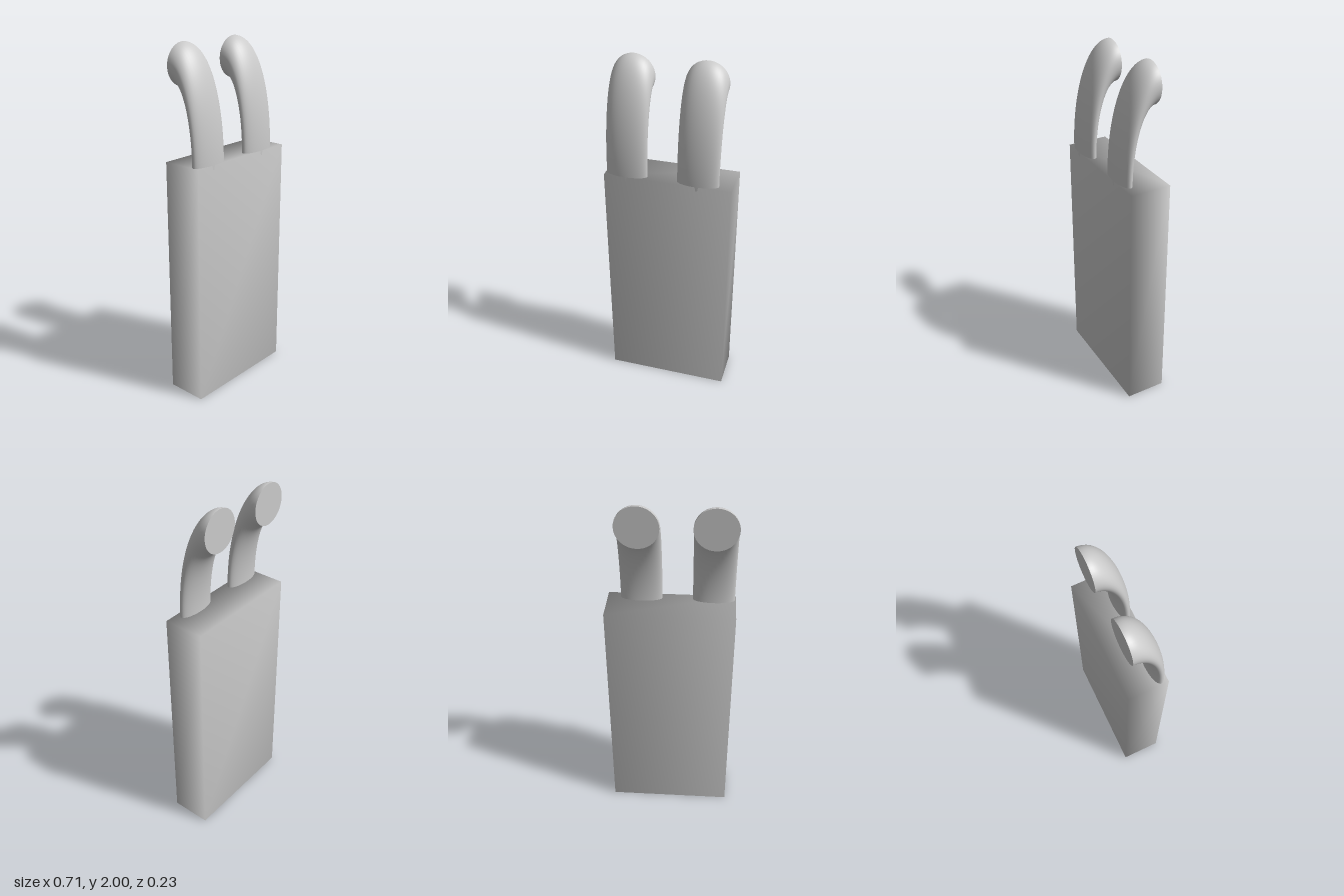
import * as THREE from 'three';
import { mergeVertices } from 'three/addons/utils/BufferGeometryUtils.js';

const material = new THREE.MeshStandardMaterial({ color: 0xcccccc });

function mesh(name, geometry) {
  const m = new THREE.Mesh(geometry, material);
  m.name = name;
  return m;
}

// Upright slab whose corners share one averaged normal, for soft shading
function createBody() {
  const box = new THREE.BoxGeometry(0.706, 1.38, 0.232);
  box.deleteAttribute('normal');
  box.deleteAttribute('uv');
  const soft = mergeVertices(box);
  soft.computeVertexNormals();
  soft.translate(0, 0.69, -0.001);
  return mesh('body', soft);
}

// Quarter-ring pipe, flattened in depth, bending towards the back
function createPipe(name, x) {
  const bend = 0.505, radius = 0.115, depthScale = 0.34;
  const sunk = 0.04; // small extra arc set into the body
  const pipe = new THREE.Group();
  pipe.name = name;

  const tube = new THREE.TorusGeometry(bend, radius, 40, 32, Math.PI / 2 + sunk);
  tube.rotateZ(-sunk);
  tube.rotateY(-Math.PI / 2);
  tube.scale(1, 1, depthScale);

  // Flat disc closing the rear end
  const cap = new THREE.CircleGeometry(radius, 40);
  cap.rotateY(Math.PI);
  cap.translate(0, bend, 0);

  pipe.add(mesh('pipeBend', tube), mesh('pipeEndCap', cap));
  pipe.position.set(x, 1.38, -0.0955);
  return pipe;
}

export function createModel() {
  const model = new THREE.Group();
  model.name = 'slabWithPipes';
  model.add(createBody(), createPipe('rightPipe', -0.232), createPipe('leftPipe', 0.165));
  return model;
}
